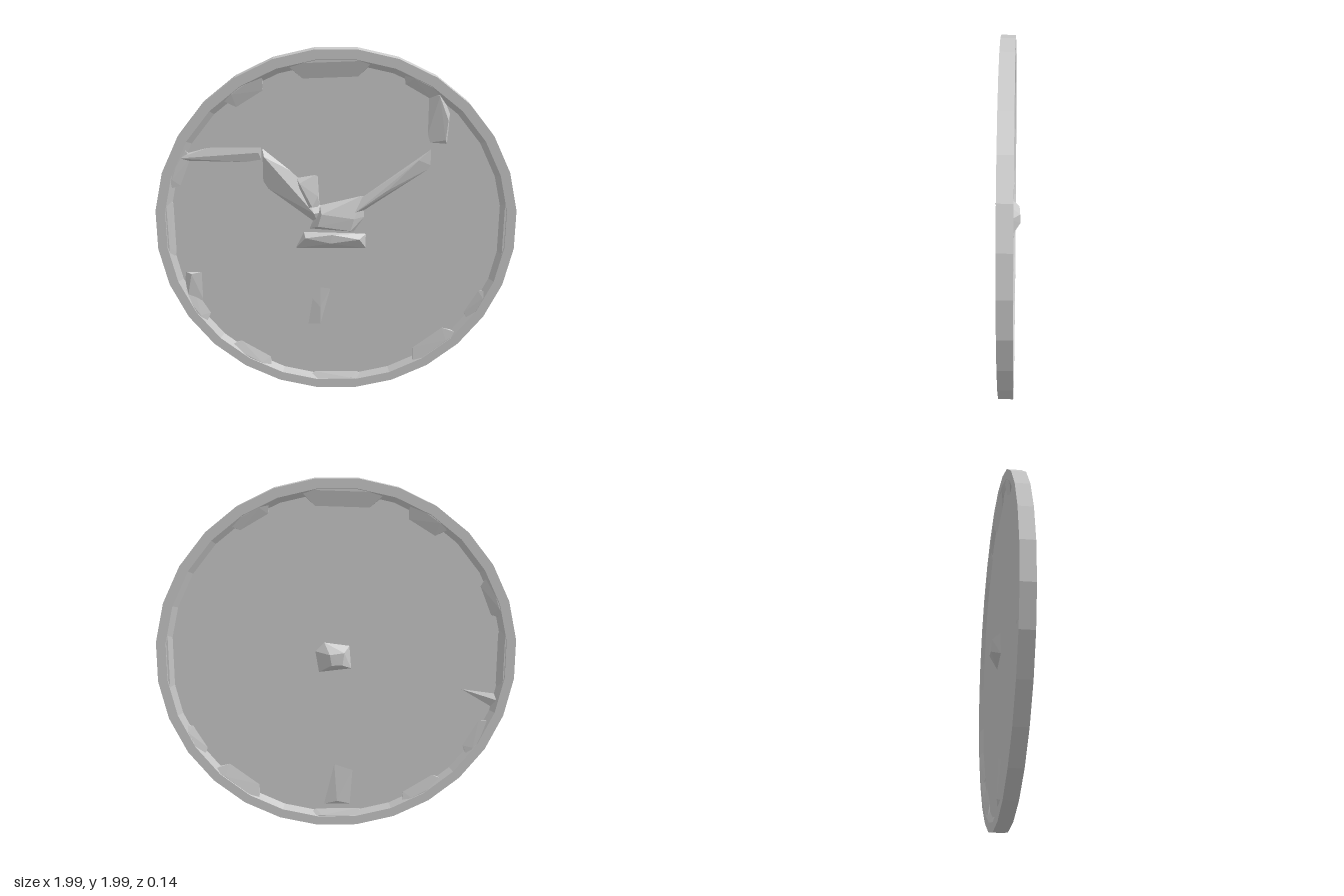
import * as THREE from 'three';
import { ConvexGeometry } from 'three/addons/geometries/ConvexGeometry.js';

const mat = new THREE.MeshStandardMaterial({ color: 0xcccccc, flatShading: true, side: THREE.DoubleSide });
const FRONT = 0.018, BACK = -0.02;

export function createModel() {
  const model = new THREE.Group();
  const add = (name, geo) => {
    const mesh = new THREE.Mesh(geo, mat);
    mesh.name = name;
    model.add(mesh);
    return mesh;
  };
  // Faceted lump: hull of a few points
  const lump = (name, pts) => add(name, new ConvexGeometry(pts.map(p => new THREE.Vector3(...p))));
  // Low wedge: flat outline on a face, with raised points
  const wedge = (name, outline, peaks, base = FRONT - 0.004) =>
    lump(name, [...outline.map(([x, y]) => [x, y, base]), ...peaks]);

  // Disc with a raised rim on both sides, as one closed profile
  const SIDES = 28, R = 1.003;
  const profile = [[0, BACK], [0.92, BACK], [0.95, -0.04], [R, -0.04],
    [R, 0.04], [0.95, 0.04], [0.92, FRONT], [0, FRONT]].map(p => new THREE.Vector2(...p));
  const disc = new THREE.LatheGeometry(profile, SIDES, Math.PI / SIDES);
  disc.rotateX(Math.PI / 2);
  disc.scale(1, 1, -1);
  // restore winding after the flip
  const ix = disc.index.array;
  for (let i = 0; i < ix.length; i += 3) [ix[i], ix[i + 1]] = [ix[i + 1], ix[i]];
  disc.translate(0, 1, 0);
  // the lathe's z was flipped to put the profile's +y side in front or back
  if (disc.attributes.position.getZ(profile.length - 1) < 0) disc.scale(1, 1, -1);
  disc.computeVertexNormals();
  add('disc', disc);

  // Two hands, rising towards the centre
  wedge('leftHand', [[-0.4, 1.47], [-0.4, 1.25], [-0.1, 1.02], [-0.05, 1.1], [-0.22, 1.32]],
    [[-0.39, 1.42, 0.038], [-0.22, 1.21, 0.045], [-0.12, 1.1, 0.055]]);
  wedge('rightHand', [[0.53, 1.47], [0.53, 1.36], [0.28, 1.21], [0.03, 1.02], [0.0, 1.08], [0.28, 1.28]],
    [[0.45, 1.4, 0.035], [0.28, 1.23, 0.045], [0.1, 1.1, 0.05]]);
  wedge('handCollar', [[-0.22, 1.3], [-0.1, 1.32], [-0.09, 1.13], [-0.2, 1.12]],
    [[-0.2, 1.27, 0.04], [-0.13, 1.14, 0.066], [-0.1, 1.2, 0.05]]);

  // Central hub and the tail under it
  wedge('hub', [[-0.15, 1.0], [-0.09, 1.14], [0.16, 1.2], [0.16, 1.07], [0.1, 0.98]],
    [[-0.1, 1.03, 0.07], [-0.08, 1.1, 0.068], [0.0, 1.06, 0.06], [0.1, 1.07, 0.06], [0.08, 1.0, 0.06]]);
  wedge('handTail', [[-0.23, 0.88], [0.17, 0.88], [0.17, 0.97], [-0.18, 0.98]],
    [[-0.17, 0.96, 0.066], [-0.03, 0.93, 0.07], [0.13, 0.95, 0.062], [-0.02, 0.98, 0.068]]);
  wedge('lowerRidge', [[-0.09, 0.71], [-0.09, 0.35], [-0.2, 0.35], [-0.16, 0.6], [0, 0.7]],
    [[-0.09, 0.52, 0.025]]);

  // Knob on the back
  lump('backKnob', [[-0.08, 0.95, BACK], [0.1, 0.93, BACK], [0.12, 1.05, BACK], [0.07, 1.1, BACK],
    [-0.07, 1.08, BACK], [-0.03, 0.98, -0.07], [0.03, 0.98, -0.072], [0.04, 1.04, -0.07], [-0.04, 1.05, -0.066]]);

  // Faceted thickenings along the inside of the rim: angle, half width, inner radius
  const marks = [[92, 14, 0.86], [122, 8, 0.87], [0, 14, 0.92], [180, 13, 0.91], [270, 11, 0.91],
    [60, 8, 0.89], [238, 9, 0.89], [308, 10, 0.87], [158, 8, 0.89], [330, 7, 0.9], [210, 8, 0.89]];
  const polar = (deg, r, z) => {
    const a = THREE.MathUtils.degToRad(deg);
    return [r * Math.cos(a), 1 + r * Math.sin(a), z];
  };
  for (const [z, base] of [[0.038, FRONT], [-0.038, BACK]]) {
    for (const [a, w, r] of marks) {
      lump('rimFacet', [polar(a - w, 0.96, z), polar(a, 0.965, z), polar(a + w, 0.96, z),
        polar(a - w * 0.7, r, base), polar(a + w * 0.7, r, base),
        polar(a - w, 0.95, base), polar(a + w, 0.95, base), polar(a + w * 0.5, 0.94, z)]);
    }
  }

  // Loose raised facets near the rim
  wedge('upperRightBlock', [[0.48, 1.78], [0.55, 1.78], [0.61, 1.66], [0.6, 1.48], [0.48, 1.49]],
    [[0.55, 1.75, 0.034], [0.6, 1.62, 0.034], [0.59, 1.51, 0.03]]);
  wedge('lowerLeftBlock', [[-0.86, 0.54], [-0.75, 0.53], [-0.75, 0.74], [-0.86, 0.74]],
    [[-0.82, 0.73, 0.034], [-0.85, 0.58, 0.032]]);
  wedge('upperLeftSlope', [[-0.88, 1.42], [-0.65, 1.48], [-0.4, 1.48], [-0.4, 1.38], [-0.85, 1.39]],
    [[-0.86, 1.41, 0.034], [-0.42, 1.44, 0.026]]);
  wedge('backLowerRidge', [[0.1, 0.12], [0.02, 0.45], [-0.12, 0.4], [-0.1, 0.12]],
    [[0, 0.15, -0.032]], BACK + 0.004);
  wedge('backSideRidge', [[-0.92, 0.8], [-0.65, 0.84], [-0.88, 0.7]], [[-0.9, 0.76, -0.034]], BACK + 0.004);

  return model;
}
